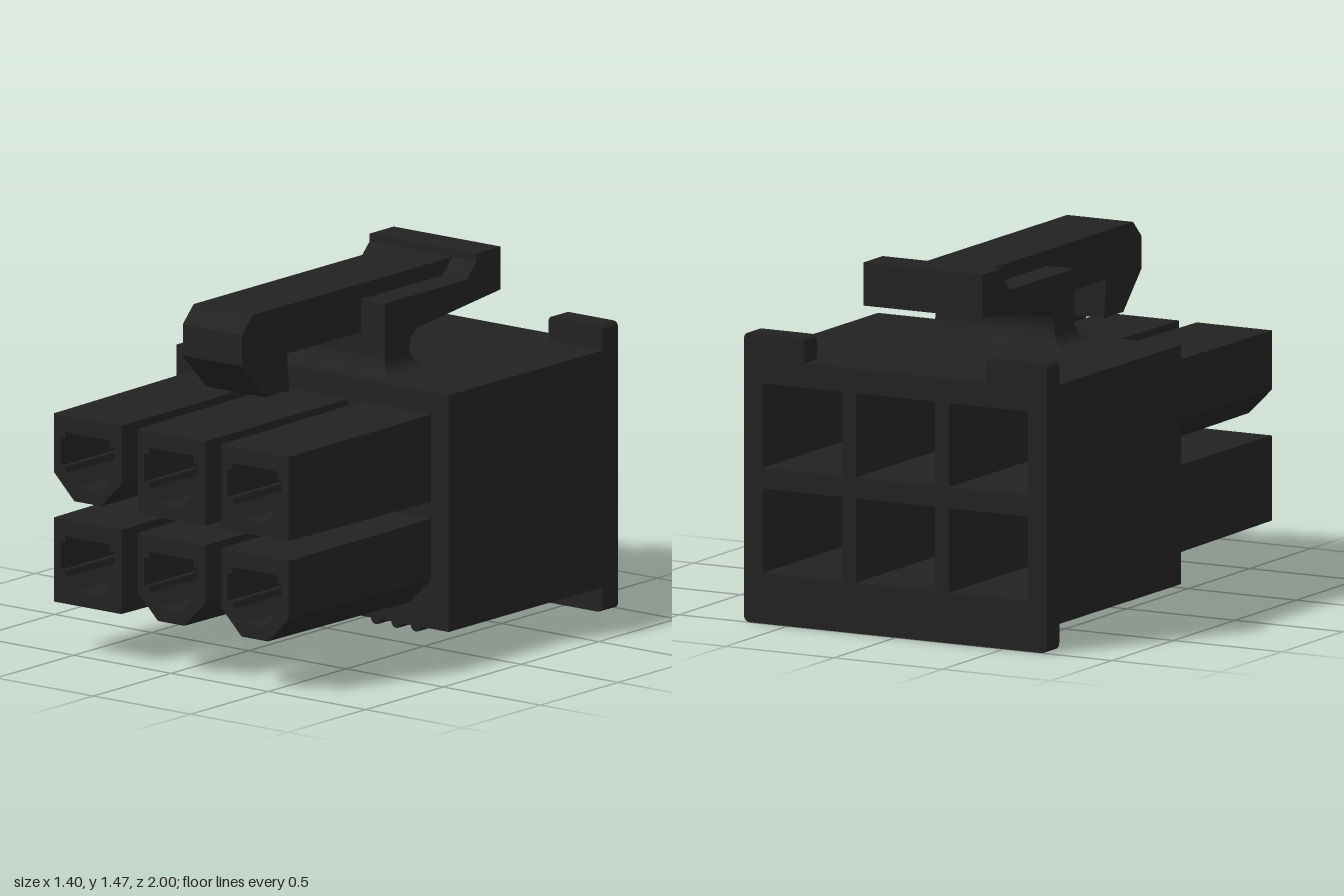
import * as THREE from 'three';

const COLS = [-0.43, 0, 0.43];
const ROWS = [0.38, 0.81];

const polygon = (pts) => pts.map(([x, y]) => new THREE.Vector2(x, y));
const rect = (x0, y0, x1, y1) => polygon([[x0, y0], [x1, y0], [x1, y1], [x0, y1]]);
const hole = (points) => new THREE.Path(points);
const shift = (points, cx, cy) => points.map((p) => new THREE.Vector2(p.x + cx, p.y + cy));
// Completes a right-hand outline, listed bottom to top, with its mirror image
const mirrored = (half) => polygon([...half, ...half.slice().reverse().map(([x, y]) => [-x, y])]);

function extrude(shape, z0, z1) {
  const g = new THREE.ExtrudeGeometry(shape, { depth: z1 - z0, bevelEnabled: false, curveSegments: 8 });
  return g.translate(0, 0, z0);
}

// Extrudes a (z, y) side profile across the width, centred on x = 0
function sideExtrude(shape, width) {
  return extrude(shape, -width / 2, width / 2).rotateY(-Math.PI / 2);
}

const eachCell = (fn) => COLS.forEach((x) => ROWS.forEach((y) => fn(x, y)));

// Adds the six rectangular wire cavities to a shape
function cutCavities(shape) {
  eachCell((x, y) => shape.holes.push(hole(rect(x - 0.183, y - 0.172, x + 0.183, y + 0.172))));
  return shape;
}

const CONTACT = mirrored([[0.05, -0.12], [0.105, -0.067], [0.105, 0.11]]);
const SOCKET = mirrored([[0.055, -0.12], [0.11, -0.067], [0.12, -0.04], [0.145, -0.04],
  [0.145, 0.08], [0.12, 0.08], [0.12, 0.11]]);
const SQUARE = rect(-0.18, -0.18, 0.18, 0.18);
const KEYED = mirrored([[0.07, -0.18], [0.18, -0.07], [0.18, 0.18]]);

// Rear flange outline with two raised tabs and rounded corners
function flangeShape() {
  const s = new THREE.Shape(), r = 0.03;
  s.moveTo(-0.7 + r, 0);
  s.lineTo(0.7 - r, 0);
  s.quadraticCurveTo(0.7, 0, 0.7, r);
  s.lineTo(0.7, 1.185 - r);
  s.quadraticCurveTo(0.7, 1.185, 0.7 - r, 1.185);
  s.lineTo(0.42 + r, 1.185);
  s.quadraticCurveTo(0.42, 1.185, 0.42, 1.185 - r);
  s.lineTo(0.42, 1.083);
  s.lineTo(-0.42, 1.083);
  s.lineTo(-0.42, 1.185 - r);
  s.quadraticCurveTo(-0.42, 1.185, -0.42 - r, 1.185);
  s.lineTo(-0.7 + r, 1.185);
  s.quadraticCurveTo(-0.7, 1.185, -0.7, 1.185 - r);
  s.lineTo(-0.7, r);
  s.quadraticCurveTo(-0.7, 0, -0.7 + r, 0);
  return s;
}

export function createModel() {
  const group = new THREE.Group();
  const black = new THREE.MeshStandardMaterial({ color: 0x222222 });
  black.name = 'black plastic';
  const add = (name, geometry) => {
    const mesh = new THREE.Mesh(geometry, black);
    mesh.name = name;
    group.add(mesh);
    return mesh;
  };

  // Housing block with wire cavities open at the back
  const outline = rect(-0.7, 0.105, 0.7, 1.083);
  add('housing', extrude(cutCavities(new THREE.Shape(outline)), -0.9, 0));
  add('rearFlange', extrude(cutCavities(flangeShape()), -1, -0.9));

  // Front wall with contact holes and shallow pockets between the sockets
  const wall = new THREE.Shape(outline);
  eachCell((x, y) => wall.holes.push(hole(shift(CONTACT, x, y))));
  for (const x of [-0.215, 0.215]) {
    wall.holes.push(hole(rect(x - 0.033, 0.255, x + 0.033, 0.56)));
    wall.holes.push(hole(rect(x - 0.033, 0.63, x + 0.033, 0.94)));
  }
  add('frontWall', extrude(wall, 0, 0.09));

  // Six slightly tapered sockets; the keyed ones have cut lower corners
  eachCell((x, y) => {
    const top = y === ROWS[1];
    const keyed = top ? x < 0 : x >= 0;
    const shape = new THREE.Shape(keyed ? KEYED : SQUARE);
    shape.holes.push(hole(SOCKET));
    const g = extrude(shape, 0.09, 1);
    const p = g.attributes.position;
    for (let i = 0; i < p.count; i++) {
      const k = p.getZ(i) > 0.5 ? 0.965 : 1;
      p.setXY(i, p.getX(i) * k, p.getY(i) * k);
    }
    g.computeVertexNormals();
    add(keyed ? 'keyedSocket' : 'squareSocket', g.translate(x, y, 0));
  });

  // Small round ribs along the underside
  for (const x of [-0.43, -0.055, 0.05, 0.325, 0.43, 0.53]) {
    const g = new THREE.CylinderGeometry(0.026, 0.026, 0.99, 12).rotateX(Math.PI / 2);
    add('bottomRib', g.translate(x, 0.107, -0.405));
  }

  // Narrow latch arm with the hook at its front end
  add('latchArm', sideExtrude(new THREE.Shape(polygon([
    [-0.64, 1.35], [-0.03, 1.24], [0.445, 1.24], [0.43, 1.085], [0.585, 1.085],
    [0.735, 1.24], [0.735, 1.37], [0.665, 1.44], [-0.64, 1.44],
  ])), 0.304));

  // Wide lever behind the pivot, with its raised thumb pad
  const lever = new THREE.Shape();
  lever.moveTo(-0.03, 1.375);
  lever.lineTo(-0.555, 1.375);
  lever.lineTo(-0.62, 1.44);
  lever.lineTo(-0.62, 1.472);
  lever.lineTo(-0.775, 1.472);
  lever.lineTo(-0.775, 1.295);
  lever.lineTo(-0.26, 1.24);
  lever.quadraticCurveTo(-0.19, 1.23, -0.19, 1.16);
  lever.lineTo(-0.03, 1.16);
  lever.closePath();
  add('latchLever', sideExtrude(lever, 0.55));

  // Pivot post that flares into the housing top on all four sides
  const post = new THREE.BoxGeometry(2, 0.08, 2, 1, 8, 1).toNonIndexed();
  const p = post.attributes.position;
  for (let i = 0; i < p.count; i++) {
    const t = p.getY(i) / 0.08 + 0.5;
    const f = 0.07 * (1 - Math.sqrt(Math.max(0, 1 - (1 - t) ** 2)));
    p.setXYZ(i, p.getX(i) * (0.275 + f), 1.082 + t * 0.08, -0.11 + p.getZ(i) * (0.08 + f));
  }
  post.computeVertexNormals();
  add('latchPost', post);

  return group;
}
